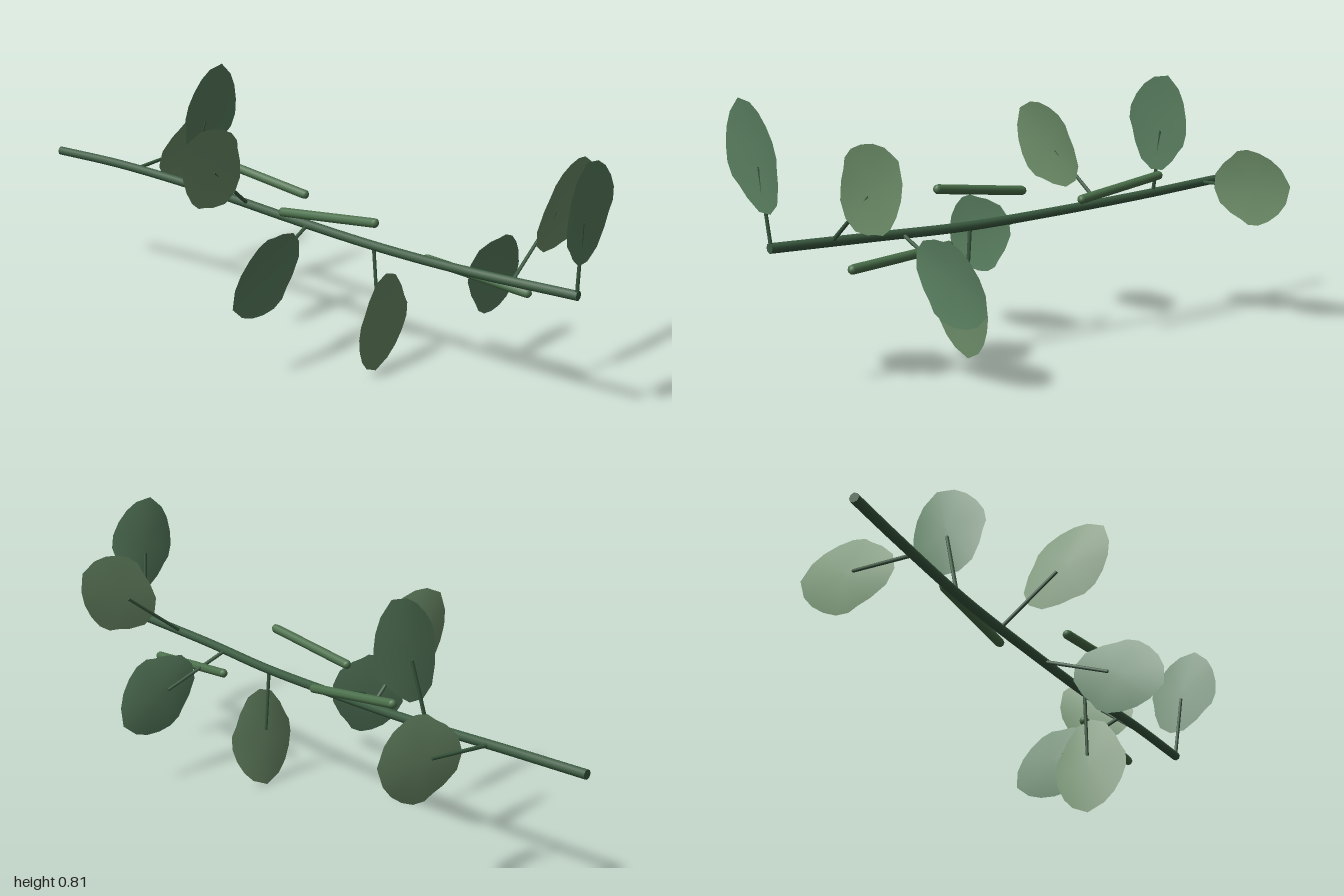
import * as THREE from 'three';

const paint = (color, side = THREE.FrontSide) => new THREE.MeshStandardMaterial({ color, side });
const V = (x, y, z) => new THREE.Vector3(x, y, z);

// Half outline of a leaf: [distance along midrib, half width], base to tip
const HALF = [[-0.163, 0], [-0.146, 0.048], [-0.1, 0.083], [-0.06, 0.102], [-0.032, 0.119],
  [0.01, 0.122], [0.055, 0.109], [0.098, 0.086], [0.132, 0.054], [0.157, 0]];

// Shallow fan: rim lifted towards +z, more at the sides than at the ends
function leafGeometry() {
  const rim = [...HALF.map(([u, w]) => [u, -w]), ...HALF.slice(1, -1).reverse()];
  const pos = [0, 0, 0], index = [];
  rim.forEach(([u, v], i) => {
    pos.push(u, v, 0.009 + 0.01 * Math.pow(v / 0.122, 2));
    index.push(0, i + 1, (i + 1) % rim.length + 1);
  });
  const g = new THREE.BufferGeometry();
  g.setAttribute('position', new THREE.Float32BufferAttribute(pos, 3));
  g.setIndex(index);
  g.computeVertexNormals();
  return g;
}

// Aligns a y-axis mesh between two points
function between(mesh, a, b) {
  mesh.position.copy(a).add(b).multiplyScalar(0.5);
  mesh.quaternion.setFromUnitVectors(V(0, 1, 0), b.clone().sub(a).normalize());
  return mesh;
}

export function createModel() {
  const model = new THREE.Group();
  model.name = 'leafyBranch';
  const bark = paint(0x3a5a40), twigMat = paint(0x4a6f4a);
  const leafMats = [paint(0x5c8262, THREE.DoubleSide), paint(0x6e8f6a, THREE.DoubleSide)];
  const add = (parent, geo, mat, name) => {
    const m = new THREE.Mesh(geo, mat);
    m.name = name;
    parent.add(m);
    return m;
  };

  // Gently curved main stem with closed ends
  const curve = new THREE.CatmullRomCurve3([
    V(-0.04, 0.413, 0.955), V(-0.043, 0.402, 0.6), V(-0.026, 0.397, 0.3), V(-0.01, 0.405, 0),
    V(0.01, 0.423, -0.4), V(0.003, 0.438, -0.75), V(-0.015, 0.441, -1)]);
  const R = 0.0145;
  add(model, new THREE.TubeGeometry(curve, 40, R, 8), bark, 'stem');
  for (const t of [0, 1]) {
    const cap = add(model, new THREE.CircleGeometry(R, 8), bark, 'stemEnd');
    cap.position.copy(curve.getPoint(t));
    cap.rotation.y = t ? Math.PI : 0;
  }

  // Leaves spiral along the stem: stalk root z, leaf centre x, y, midrib angle in degrees
  const leaves = [
    [0.95, -0.066, 0.663, 107], [0.753, 0.184, 0.578, 35], [0.515, 0.217, 0.3, -26],
    [0.28, -0.023, 0.16, -90], [0.03, -0.25, 0.322, 203], [-0.212, -0.203, 0.587, 138],
    [-0.445, 0.065, 0.658, 72], [-0.679, 0.247, 0.448, 7]];
  const leafGeo = leafGeometry();
  leaves.forEach(([z, x, y, deg], i) => {
    const sprig = new THREE.Group();
    sprig.name = 'sprig' + (i + 1);
    model.add(sprig);

    const leaf = add(sprig, leafGeo, leafMats[i % 2], 'leaf');
    leaf.position.set(x, y, z + 0.02);
    leaf.rotation.set(0.1, 0, THREE.MathUtils.degToRad(deg));

    // Stalk from the stem to just behind the leaf centre
    const root = curve.getPoint(0);
    for (let t = 0; t <= 1; t += 0.005) {
      const p = curve.getPoint(t);
      if (Math.abs(p.z - z) < Math.abs(root.z - z)) root.copy(p);
    }
    root.z = z;
    const end = root.clone().lerp(V(x, y, z + 0.019), 0.87);
    const stalk = new THREE.CylinderGeometry(0.005, 0.006, root.distanceTo(end), 6);
    between(add(sprig, stalk, bark, 'stalk'), root, end);
  });

  // Loose round-ended twigs lying alongside the stem
  const twigs = [
    [V(-0.104, 0.502, 0.335), V(-0.104, 0.465, 0.01)],
    [V(0.09, 0.453, -0.06), V(0.09, 0.494, -0.385)],
    [V(0.048, 0.366, 0.42), V(0.048, 0.342, 0.75)]];
  for (const [a, b] of twigs) {
    const geo = new THREE.CapsuleGeometry(0.0145, a.distanceTo(b), 4, 8);
    between(add(model, geo, twigMat, 'twig'), a, b);
  }
  return model;
}
